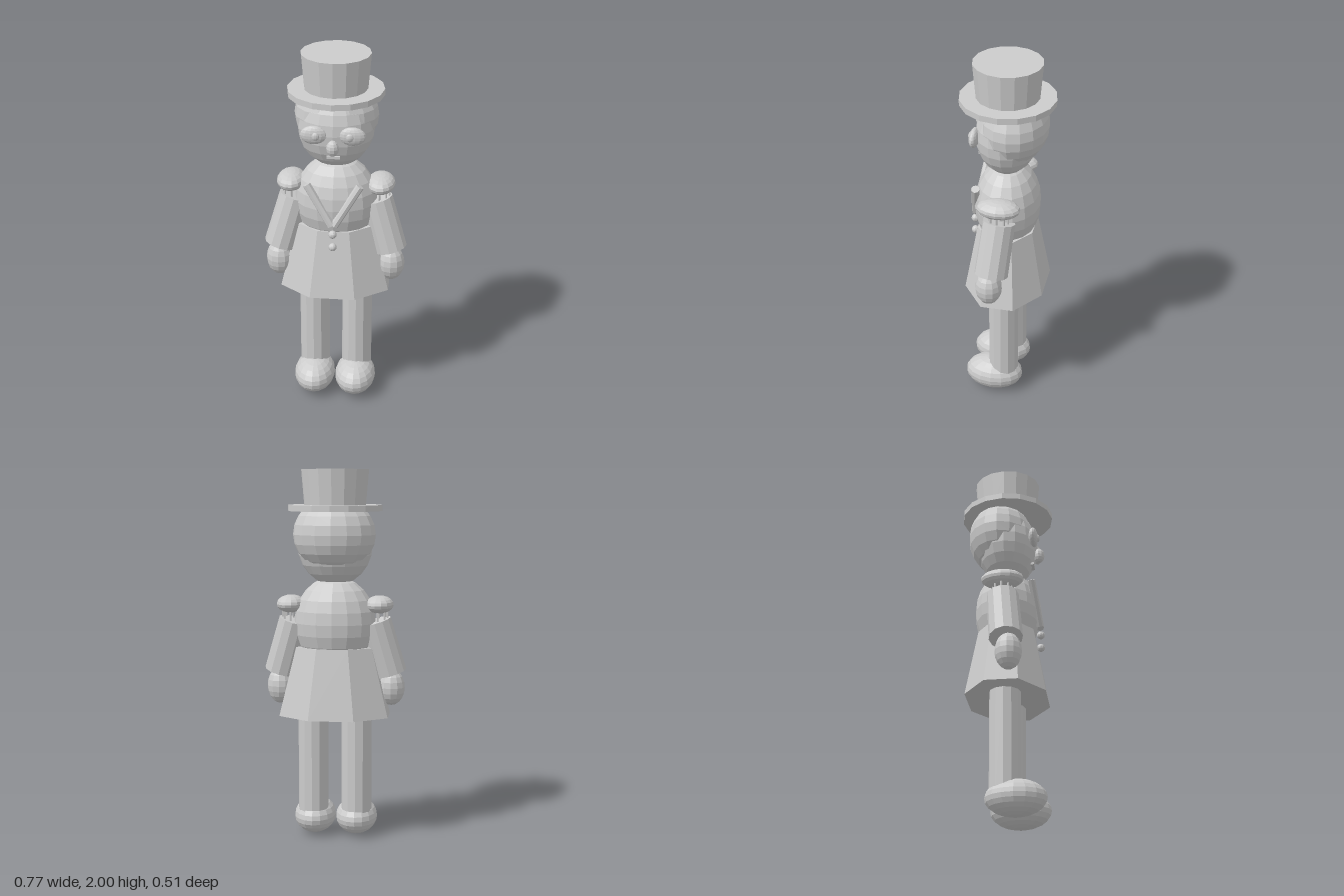
import * as THREE from 'three';

export function createModel() {
  const root = new THREE.Group();
  const grey = new THREE.MeshStandardMaterial({ color: 0xcccccc });
  grey.name = 'grey';
  grey.flatShading = true;

  function add(name, geometry, x = 0, y = 0, z = 0) {
    const mesh = new THREE.Mesh(geometry, grey);
    mesh.name = name;
    mesh.position.set(x, y, z);
    root.add(mesh);
    return mesh;
  }

  // Faceted ellipsoid from centre and radii
  function ellipsoid(name, centre, radii, seg = 16, rings = 12) {
    return add(name, new THREE.SphereGeometry(1, seg, rings).scale(...radii), ...centre);
  }

  // Cylinder running between two points
  function rod(name, from, to, rFrom, rTo, sides) {
    const a = new THREE.Vector3(...from), b = new THREE.Vector3(...to);
    const dir = b.clone().sub(a);
    const mesh = add(name, new THREE.CylinderGeometry(rTo, rFrom, dir.length(), sides));
    mesh.position.copy(a).add(b).multiplyScalar(0.5);
    mesh.quaternion.setFromUnitVectors(new THREE.Vector3(0, 1, 0), dir.normalize());
    return mesh;
  }

  // Top hat
  add('hatCrown', new THREE.CylinderGeometry(0.182, 0.165, 0.2, 16), 0, 1.9, 0);
  add('hatBrim', new THREE.CylinderGeometry(0.253, 0.253, 0.032, 16), 0, 1.795, 0);

  // Head
  ellipsoid('head', [0, 1.6, 0], [0.203, 0.22, 0.168]);
  ellipsoid('hair', [0, 1.655, -0.035], [0.222, 0.2, 0.182]);
  ellipsoid('nose', [0, 1.543, 0.175], [0.033, 0.043, 0.032], 10, 8);
  add('mouth', new THREE.BoxGeometry(0.07, 0.014, 0.03), 0, 1.48, 0.135);

  // Torso and flared eight-sided coat skirt
  ellipsoid('torso', [0, 1.18, 0], [0.222, 0.25, 0.176]);
  const skirt = new THREE.CylinderGeometry(0.221, 0.318, 0.375, 8).rotateY(Math.PI / 8).scale(1, 1, 0.73);
  add('coatSkirt', skirt, 0, 0.8625, 0);
  for (const y of [1.05, 0.975]) ellipsoid('button', [0, y, 0.181], [0.022, 0.022, 0.022], 10, 8);

  for (const s of [-1, 1]) {
    const side = s > 0 ? 'left' : 'right';

    // Face details
    ellipsoid(side + 'Eye', [s * 0.1, 1.606, 0.155], [0.069, 0.05, 0.026], 14, 10);
    ellipsoid(side + 'Pupil', [s * 0.088, 1.606, 0.178], [0.02, 0.022, 0.012], 10, 8);

    // Lapel
    rod(side + 'Lapel', [s * 0.008, 1.1, 0.176], [s * 0.14, 1.32, 0.145], 0.022, 0.022, 8);

    // Shoulder piece with a ring of fringe strands
    ellipsoid(side + 'Epaulette', [s * 0.24, 1.28, 0], [0.077, 0.048, 0.116], 14, 10);
    for (let i = 0; i < 8; i++) {
      const a = (i / 8) * Math.PI * 2;
      const x = s * (0.235 + 0.05 * Math.cos(a)), z = 0.05 * Math.sin(a);
      rod(side + 'Fringe', [x, 1.19, z], [x, 1.27, z], 0.006, 0.006, 6);
    }

    // Arm and hand
    rod(side + 'Arm', [s * 0.3, 0.905, 0.027], [s * 0.219, 1.19, 0], 0.09, 0.086, 12);
    ellipsoid(side + 'Hand', [s * 0.305, 0.825, 0.04], [0.073, 0.1, 0.072], 12, 10);

    // Leg and shoe
    rod(side + 'Leg', [s * 0.118, 0.1, 0], [s * 0.118, 0.72, 0], 0.083, 0.083, 12);
    ellipsoid(side + 'Shoe', [s * 0.115, 0.097, 0.055], [0.114, 0.097, 0.162]);
  }
  return root;
}
